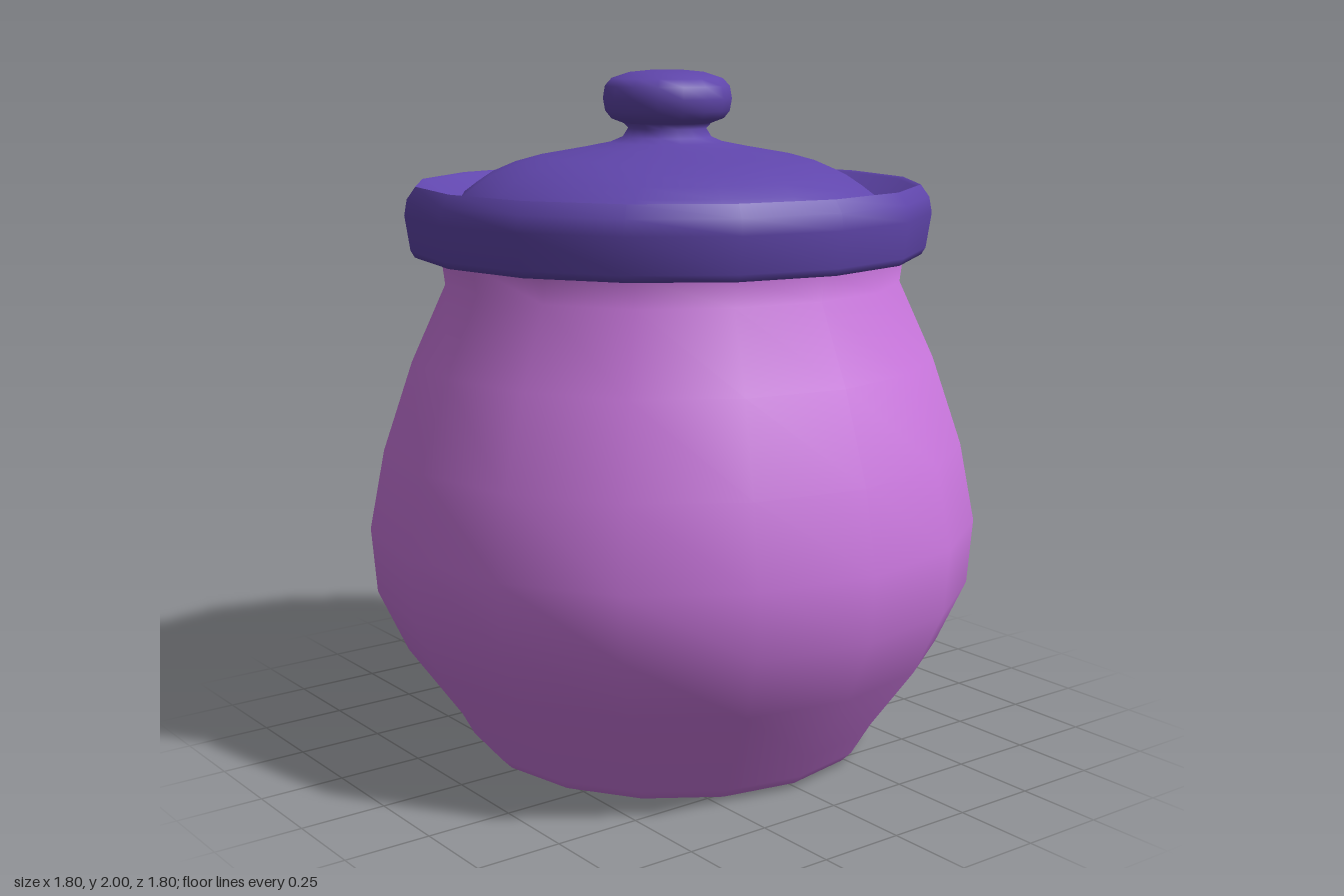
import * as THREE from 'three';

const SIDES = 16;

// Turned part from [radius, height] pairs, listed so the outside faces out
function turned(name, profile, color) {
  const points = profile.map(([r, y]) => new THREE.Vector2(r, y));
  const mesh = new THREE.Mesh(
    new THREE.LatheGeometry(points, SIDES),
    new THREE.MeshStandardMaterial({ color, side: THREE.DoubleSide })
  );
  mesh.name = name;
  return mesh;
}

export function createModel() {
  const pink = 0xcc78e0, purple = 0x6046ac;
  const model = new THREE.Group();
  model.name = 'lidded jar';

  // Pot: open underneath, swelling belly and slightly flared neck
  model.add(turned('pot', [
    [0.55, 0], [0.58, 0.01], [0.61, 0.04], [0.645, 0.105], [0.80, 0.32],
    [0.885, 0.505], [0.90, 0.695], [0.855, 0.925], [0.768, 1.18],
    [0.667, 1.40], [0.677, 1.48], [0.675, 1.56], [0.64, 1.58], [0.62, 1.54],
  ], pink));

  // Lid, sitting a touch off-centre
  const lid = new THREE.Group();
  lid.name = 'lid';
  lid.position.x = -0.015;

  // Rim band: inner wall, lower lip and bulging outer wall
  lid.add(turned('lidRim', [
    [0.62, 1.60], [0.70, 1.59], [0.715, 1.49], [0.738, 1.48], [0.75, 1.50],
    [0.765, 1.60], [0.757, 1.645], [0.732, 1.68],
  ], purple));

  // Groove inside the rim
  lid.add(turned('lidGroove', [
    [0.732, 1.68], [0.715, 1.675], [0.65, 1.63], [0.62, 1.62],
  ], purple));

  // Dome rising into the knob stem
  lid.add(turned('lidDome', [
    [0.62, 1.62], [0.605, 1.645], [0.565, 1.675], [0.52, 1.705], [0.45, 1.735],
    [0.37, 1.757], [0.24, 1.78], [0.165, 1.795], [0.13, 1.81],
    [0.114, 1.835], [0.128, 1.85],
  ], purple));

  // Flattened round knob
  lid.add(turned('knob', [
    [0.128, 1.85], [0.165, 1.864], [0.182, 1.885], [0.188, 1.92],
    [0.182, 1.955], [0.162, 1.977], [0.11, 1.994], [0.05, 2.0], [0, 2.0],
  ], purple));

  model.add(lid);
  return model;
}
